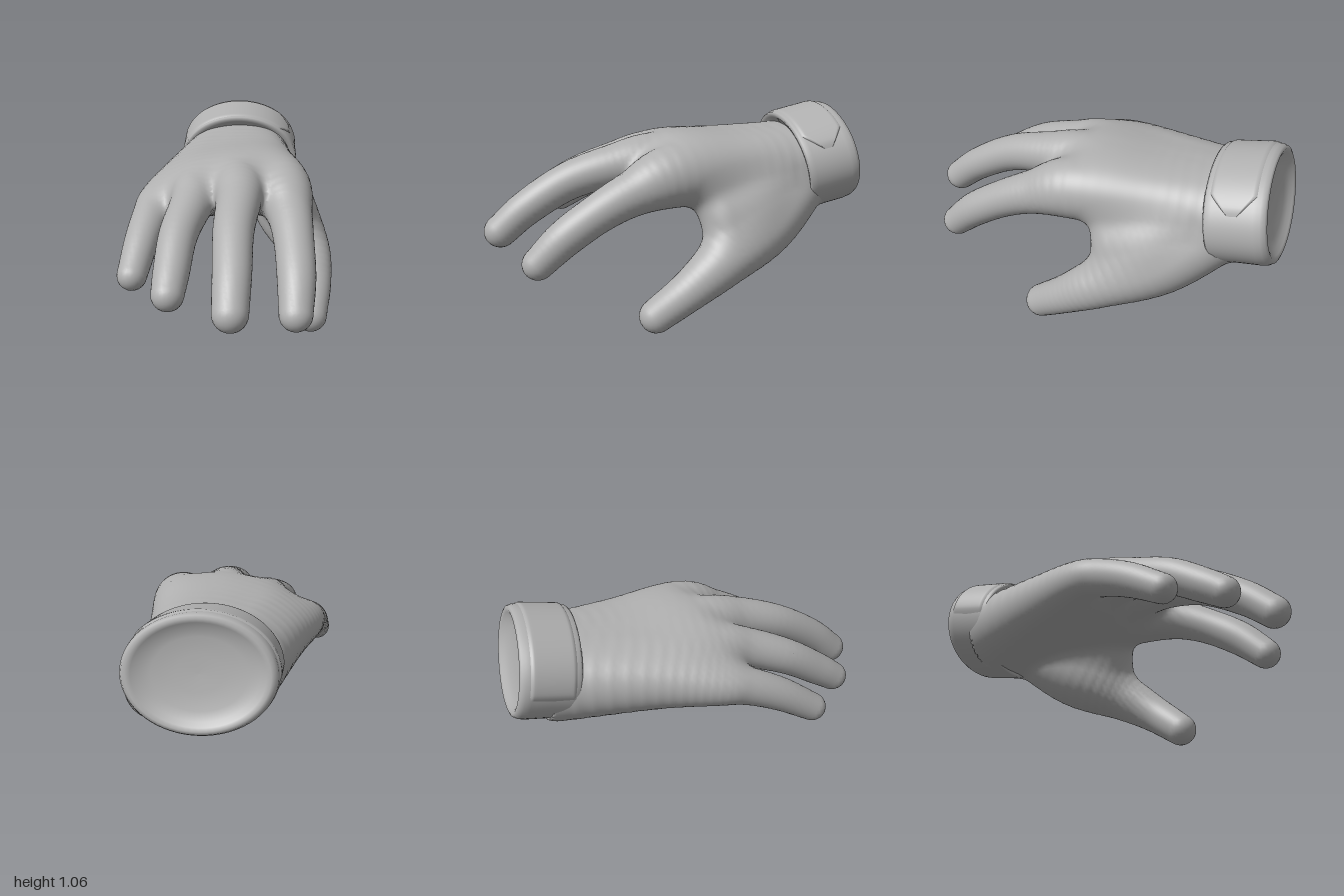
import * as THREE from 'three';
import { mergeVertices } from 'three/addons/utils/BufferGeometryUtils.js';

const V = (x, y, z) => new THREE.Vector3(x, y, z);

// Bones of the hand: each point is x, y, z, radius. The first `palm` spans belong to the palm.
const BONES = [
  { name: 'indexFinger', palm: 2, pts: [[.27, .72, -.72, .225], [.27, .758, -.3, .178], [.275, .772, .1, .163],
    [.275, .715, .32, .118], [.26, .635, .5, .1], [.235, .52, .68, .094], [.205, .395, .815, .081]] },
  { name: 'middleFinger', palm: 2, pts: [[.2, .722, -.72, .23], [.12, .765, -.3, .178], [.045, .795, .1, .153],
    [.01, .785, .32, .116], [-.05, .72, .55, .1], [-.09, .595, .77, .092], [-.12, .475, .913, .085]] },
  { name: 'ringFinger', palm: 2, pts: [[.13, .72, -.72, .225], [-.05, .745, -.3, .178], [-.165, .765, .04, .142],
    [-.22, .745, .22, .11], [-.305, .67, .43, .096], [-.355, .56, .61, .088], [-.383, .49, .713, .079]] },
  { name: 'littleFinger', palm: 2, pts: [[.07, .71, -.72, .22], [-.19, .71, -.3, .155], [-.365, .69, -.04, .112],
    [-.42, .66, .1, .098], [-.48, .585, .27, .088], [-.54, .475, .445, .075]] },
  { name: 'thumb', palm: 1, pts: [[.32, .68, -.66, .16], [.405, .485, -.36, .178], [.473, .345, -.08, .137],
    [.472, .22, .11, .105], [.423, .09, .277, .089]] },
  { name: 'thumbWeb', palm: 9, pts: [[.33, .66, -.45, .16], [.39, .6, -.3, .14], [.4, .565, -.14, .102]] }
];

// Cuff frame: centre of its front edge and the direction towards its back
const CUFF = V(.173, .735, -.635);
const AXIS = V(.19, .21, -1).normalize();

// Smooth each bone into short tapered capsules
const STEPS = 6;
const chains = BONES.map(({ name, palm, pts }) => {
  const path = new THREE.CatmullRomCurve3(pts.map(p => V(p[0], p[1], p[2])), false, 'catmullrom', .5);
  const size = new THREE.CatmullRomCurve3(pts.map(p => V(p[3], 0, 0)), false, 'catmullrom', .5);
  const n = (pts.length - 1) * STEPS;
  return Array.from({ length: n }, (_, i) => {
    const a = path.getPoint(i / n), d = path.getPoint((i + 1) / n).sub(a);
    const ra = size.getPoint(i / n).x, rb = size.getPoint((i + 1) / n).x;
    return { part: i < palm * STEPS ? 'palm' : name, a, d, len2: d.lengthSq(), ra, dr: rb - ra };
  });
});

function capsule(c, x, y, z) {
  const px = x - c.a.x, py = y - c.a.y, pz = z - c.a.z, d = c.d;
  const t = Math.min(1, Math.max(0, (px * d.x + py * d.y + pz * d.z) / c.len2));
  const ex = px - d.x * t, ey = py - d.y * t, ez = pz - d.z * t;
  return Math.sqrt(ex * ex + ey * ey + ez * ez) - c.ra - c.dr * t;
}

// Distance to the hand: bones melt together most across the palm, little at the fingers
function field(x, y, z) {
  const k = .04 + .13 * Math.exp(-((z / (z > 0 ? .17 : .3)) ** 2));
  let sum = 9;
  for (const chain of chains) {
    let near = 9;
    for (const c of chain) near = Math.min(near, capsule(c, x, y, z));
    const h = Math.max(0, k - Math.abs(sum - near));
    sum = Math.min(sum, near) - h * h / (4 * k);
  }
  // the wrist ends inside the cuff
  const trim = (x - CUFF.x) * AXIS.x + (y - CUFF.y) * AXIS.y + (z - CUFF.z) * AXIS.z - .12;
  return Math.max(sum, trim);
}

function gradient({ x, y, z }, e) {
  return V(field(x + e, y, z) - field(x - e, y, z), field(x, y + e, z) - field(x, y - e, z),
    field(x, y, z + e) - field(x, y, z - e)).divideScalar(2 * e);
}

function partAt(p) {
  let best = 9, part = 'palm';
  for (const chain of chains) for (const c of chain) {
    const d = capsule(c, p.x, p.y, p.z);
    if (d < best) { best = d; part = c.part; }
  }
  return part;
}

// Skin the bones with a grid of quads pulled onto the surface, sorted into named parts
function buildHand(material) {
  const s = .02, lo = V(-.72, -.07, -.95), n = [73, 58, 101];
  const stride = [1, n[0], n[0] * n[1]];
  const values = new Float32Array(n[0] * n[1] * n[2]);
  for (let k = 0, i = 0; k < n[2]; k++) for (let j = 0; j < n[1]; j++) for (let m = 0; m < n[0]; m++)
    values[i++] = field(lo.x + m * s, lo.y + j * s, lo.z + k * s);

  const verts = new Map();
  const vertex = id => {
    if (!verts.has(id)) {
      const m = id % n[0], j = Math.floor(id / n[0]) % n[1], k = Math.floor(id / stride[2]);
      const p = V(m + .5, j + .5, k + .5).multiplyScalar(s).add(lo);
      for (let pass = 0; pass < 4; pass++) {
        const g = gradient(p, .004);
        const move = -field(p.x, p.y, p.z) / Math.max(.3, g.lengthSq());
        p.addScaledVector(g, THREE.MathUtils.clamp(move, -s / 2, s / 2));
      }
      verts.set(id, { p, normal: gradient(p, .014).normalize() });
    }
    return verts.get(id);
  };

  const parts = {};
  for (let k = 1; k < n[2] - 1; k++) for (let j = 1; j < n[1] - 1; j++) for (let m = 1; m < n[0] - 1; m++) {
    const id = m + j * stride[1] + k * stride[2], inside = values[id] < 0;
    for (let a = 0; a < 3; a++) {
      if (inside === values[id + stride[a]] < 0) continue;
      const b = stride[(a + 1) % 3], c = stride[(a + 2) % 3];
      const quad = [id - b - c, id - c, id, id - b].map(vertex);
      if (!inside) quad.reverse();
      const out = parts[partAt(quad[0].p)] ??= { position: [], normal: [] };
      for (const q of [0, 1, 2, 0, 2, 3]) {
        out.position.push(...quad[q].p.toArray());
        out.normal.push(...quad[q].normal.toArray());
      }
    }
  }

  const hand = new THREE.Group();
  hand.name = 'hand';
  for (const [name, data] of Object.entries(parts)) {
    const geo = new THREE.BufferGeometry();
    for (const key of ['position', 'normal']) geo.setAttribute(key, new THREE.Float32BufferAttribute(data[key], 3));
    const mesh = new THREE.Mesh(mergeVertices(geo, 1e-5), material);
    mesh.name = name;
    hand.add(mesh);
  }
  return hand;
}

// Oval cuff with a rolled rim and shallow dished end, plus a pointed strap lying on it
function buildCuff(material) {
  const cuff = new THREE.Group();
  cuff.name = 'cuff';
  const RX = .352, RY = .276;
  const profile = [[.7, .04], [.9, .008], [.97, 0], [.995, .012], [1, .04], [.995, .14], [1, .24], [.988, .272],
    [.955, .293], [.9, .3], [.84, .292], [.76, .275], [.6, .26], [.3, .252], [0, .25]];
  const band = new THREE.LatheGeometry(profile.map(p => new THREE.Vector2(...p)), 64);
  band.scale(RX, 1, RY);
  const bandMesh = new THREE.Mesh(band, material);
  bandMesh.name = 'cuffBand';

  const strap = new THREE.PlaneGeometry(1, 1, 60, 20);
  const pos = strap.attributes.position;
  for (let i = 0; i < pos.count; i++) {
    const u = pos.getX(i) + .5, v = pos.getY(i);
    const angle = THREE.MathUtils.degToRad(-100 + 164 * u);
    const width = .23 * Math.min(1, .1 + (1 - u) * 7);
    const edge = Math.min(u, 1 - u, .5 - Math.abs(v));
    const r = .985 + .037 * Math.min(1, edge * 18);
    pos.setXYZ(i, RX * r * Math.sin(angle), .14 + v * width, RY * r * Math.cos(angle));
  }
  strap.computeVertexNormals();
  const strapMesh = new THREE.Mesh(strap, material);
  strapMesh.name = 'cuffStrap';

  cuff.add(bandMesh, strapMesh);
  const side = V(1, 0, 0).addScaledVector(AXIS, -AXIS.x).normalize();
  const up = side.clone().cross(AXIS);
  cuff.quaternion.setFromRotationMatrix(new THREE.Matrix4().makeBasis(side, AXIS, up));
  cuff.position.copy(CUFF);
  return cuff;
}

export function createModel() {
  const grey = new THREE.MeshStandardMaterial({ color: 0xb0b0b0 });
  grey.name = 'gloveGrey';
  const model = new THREE.Group();
  model.name = 'glove';
  model.add(buildHand(grey), buildCuff(grey));
  return model;
}
